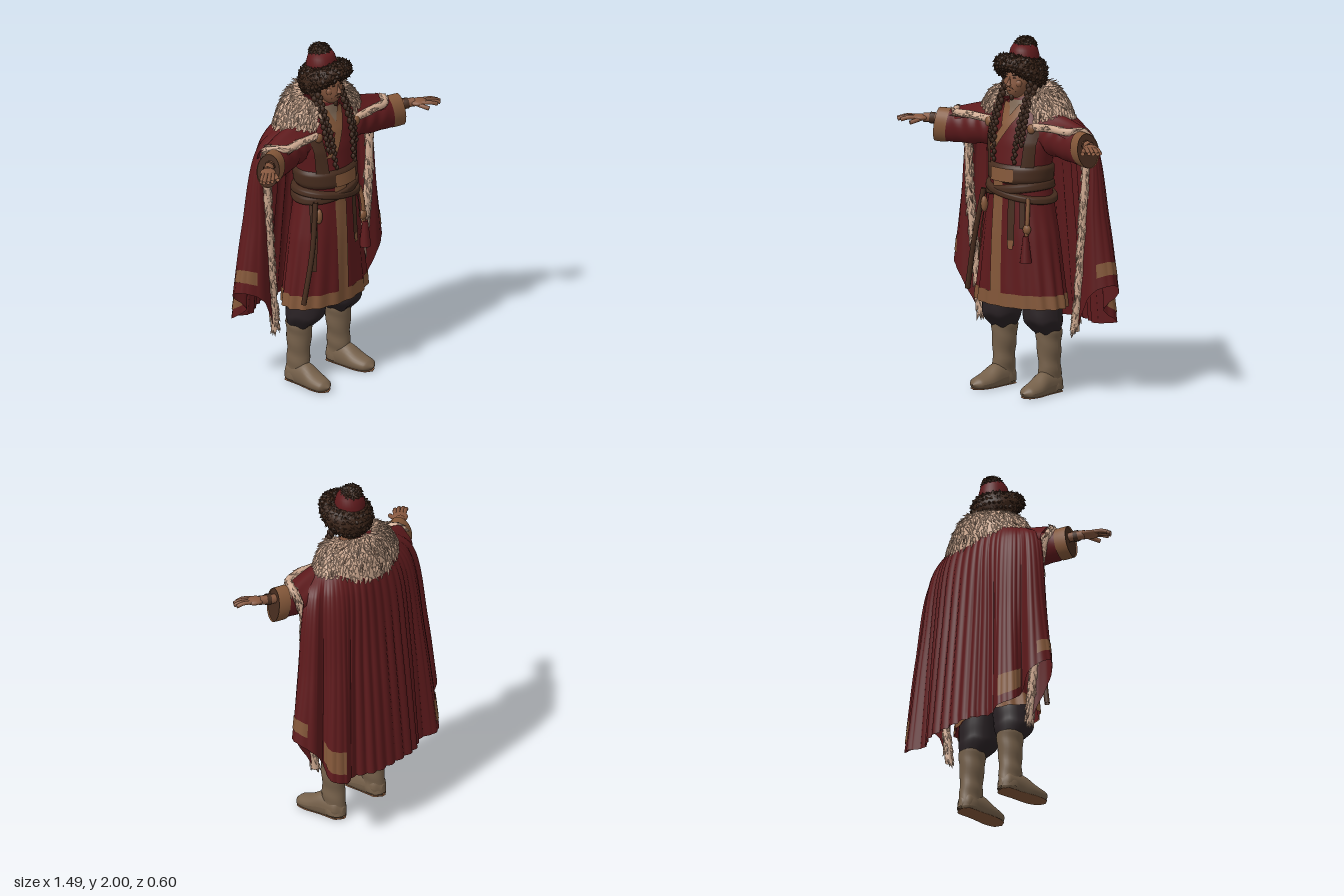
import * as THREE from 'three';
import { mergeGeometries } from 'three/addons/utils/BufferGeometryUtils.js';

const V = (x, y, z) => new THREE.Vector3(x, y, z);
const { lerp, clamp } = THREE.MathUtils;
const paint = (name, color) => Object.assign(new THREE.MeshStandardMaterial({ color, side: THREE.DoubleSide }), { name });

export function createModel() {
  const model = new THREE.Group();
  const red = paint('deep red cloth', 0x5e1a1c), trim = paint('tan trim', 0x835739);
  const paleFur = paint('pale fur', 0xd0ab92), furShade = paint('fur shadow', 0x7a5f4f);
  const darkFur = paint('dark brown fur', 0x3a2418), leather = paint('brown leather', 0x462c1e);
  const skin = paint('skin', 0x885940), pants = paint('dark trousers', 0x2a2225);
  const bootHide = paint('boot hide', 0x75604a), linen = paint('linen', 0x7d6754);

  let seed = 7;
  const rnd = () => (seed = (seed * 16807) % 2147483647) / 2147483647;
  const jit = (s) => (rnd() - 0.5) * 2 * s;

  const add = (name, geo, mat) => {
    const m = new THREE.Mesh(geo, mat);
    m.name = name;
    model.add(m);
    return m;
  };
  // Surface from a rule fn(u, v) -> point
  const sheet = (name, mat, fn, nu, nv) => {
    const pos = [], idx = [];
    for (let j = 0; j <= nv; j++) for (let i = 0; i <= nu; i++) pos.push(...fn(i / nu, j / nv).toArray());
    for (let j = 0; j < nv; j++) for (let i = 0; i < nu; i++) {
      const a = j * (nu + 1) + i, b = a + nu + 1;
      idx.push(a, a + 1, b, a + 1, b + 1, b);
    }
    const g = new THREE.BufferGeometry();
    g.setAttribute('position', new THREE.Float32BufferAttribute(pos, 3));
    g.setIndex(idx);
    g.computeVertexNormals();
    return add(name, g, mat);
  };
  // Elliptical sections [x, y, z, ra, rb] joined smoothly; A and B are the ellipse axes
  const loft = (name, mat, rows, A, B, rule = (p) => p, nv = 24) => {
    const c = new THREE.CatmullRomCurve3(rows.map((r) => V(r[0], r[1], r[2])));
    const q = new THREE.CatmullRomCurve3(rows.map((r) => V(r[3], r[4], 0)));
    return sheet(name, mat, (u, v) => {
      const a = u * Math.PI * 2, r = q.getPoint(v);
      return rule(c.getPoint(v).addScaledVector(A, r.x * Math.cos(a)).addScaledVector(B, r.y * Math.sin(a)), a, v);
    }, 28, nv);
  };
  const tube = (name, mat, pts, r, seg = 40) =>
    add(name, new THREE.TubeGeometry(new THREE.CatmullRomCurve3(pts), seg, r, 8), mat);
  const ball = (name, mat, p, s) => {
    const m = add(name, new THREE.SphereGeometry(1, 18, 14), mat);
    m.position.set(...p);
    m.scale.set(...s);
    return m;
  };
  // Many pointed tufts [point, direction, length, width] in one mesh
  const fur = (name, mat, list) => {
    const up = V(0, 1, 0);
    add(name, mergeGeometries(list.map(([p, d, len, w]) =>
      new THREE.ConeGeometry(w, len, 5).translate(0, len / 2, 0)
        .applyQuaternion(new THREE.Quaternion().setFromUnitVectors(up, d.clone().normalize()))
        .translate(p.x, p.y, p.z))), mat);
  };

  // Robe: rows of height, half width, half depth, centre z
  const prof = [[0.5, 0.3, 0.17, 0.07], [0.6, 0.285, 0.17, 0.07], [0.9, 0.24, 0.162, 0.07], [1.1, 0.198, 0.152, 0.07],
    [1.2, 0.18, 0.148, 0.075], [1.3, 0.188, 0.145, 0.07], [1.42, 0.21, 0.14, 0.06], [1.52, 0.2, 0.12, 0.05],
    [1.6, 0.13, 0.085, 0.045], [1.67, 0.06, 0.06, 0.05]];
  const section = (y) => {
    let i = 0;
    while (i < prof.length - 2 && y > prof[i + 1][0]) i++;
    const a = prof[i], b = prof[i + 1], k = clamp((y - a[0]) / (b[0] - a[0]), 0, 1);
    return [1, 2, 3].map((n) => lerp(a[n], b[n], k));
  };
  const robe = (th, y, o = 0) => {
    const [w, d, z] = section(y), f = 1 + 0.028 * clamp((1.12 - y) / 0.5, 0, 1) * Math.sin(16 * th);
    return V((w * f + o) * Math.sin(th), y, z + (d * f + o) * Math.cos(th));
  };
  const robeAt = (x, y, o) => robe(Math.asin(clamp(x / section(y)[0], -1, 1)), y, o);
  const TAU = Math.PI * 2;
  sheet('robe', red, (u, v) => robe(u * TAU, lerp(0.5, 1.67, v)), 128, 46);
  sheet('robeHemBand', trim, (u, v) => robe(u * TAU, lerp(0.498, 0.575, v), 0.005), 128, 4);
  sheet('robeFrontBand', trim, (u, v) => robeAt(lerp(-0.075, 0, u), lerp(0.5, 1.2, v), 0.007), 6, 30);
  sheet('shirt', linen, (u, v) => robeAt(lerp(-1, 1, u) * lerp(0.006, 0.05, v), lerp(1.54, 1.65, v), 0.006), 10, 10);
  for (const s of [1, -1]) sheet('lapel', trim, (u, v) =>
    robeAt(s * lerp(0.06, s > 0 ? -0.09 : 0.02, v) + lerp(-0.027, 0.027, u), lerp(1.63, s > 0 ? 1.38 : 1.51, v), s > 0 ? 0.014 : 0.01), 6, 16);

  // Belts and things hung from them
  const belt = (name, y, tilt, h, o) => sheet(name, leather, (u, v) =>
    robe(u * TAU, y + tilt * Math.sin(u * TAU) + (v - 0.5) * h, o * (1 - (2 * v - 1) ** 6)), 64, 8);
  belt('mainBelt', 1.245, 0, 0.105, 0.016);
  belt('slungBelt', 1.155, 0.03, 0.055, 0.02);
  belt('slungBelt', 1.135, -0.035, 0.045, 0.024);
  sheet('buckle', trim, (u, v) => robeAt(lerp(-0.075, 0.07, u), lerp(1.205, 1.28, v), 0.024), 8, 4);
  const strap = (name, mat, x0, x1, y0, y1, w, o = 0.014) => sheet(name, mat, (u, v) =>
    robeAt(lerp(x0, x1, v) + (u - 0.5) * w, lerp(y0, y1, v), o), 4, 16);
  strap('hangingStrap', leather, 0.06, 0.065, 1.13, 0.85, 0.04);
  strap('strapTip', trim, 0.065, 0.065, 0.88, 0.83, 0.03, 0.018);
  strap('hangingStrap', leather, 0.115, 0.125, 1.13, 0.95, 0.025);
  strap('sideStrap', leather, -0.17, -0.21, 1.13, 0.72, 0.025);
  tube('tasselCord', trim, [robeAt(0.14, 1.12, 0.02), robeAt(0.145, 1.03, 0.03), robeAt(0.15, 0.9, 0.025)], 0.012);
  ball('tasselBead', trim, robeAt(0.148, 0.95, 0.025).toArray(), [0.025, 0.03, 0.02]);
  add('tassel', new THREE.CylinderGeometry(0.016, 0.034, 0.15, 12), red).position.copy(robeAt(0.15, 0.84, 0.03));
  ball('pouch', trim, robeAt(-0.16, 1.045, 0.02).toArray(), [0.02, 0.045, 0.02]);
  tube('scabbard', leather, [V(-0.19, 1.13, 0.17), V(-0.24, 0.85, 0.19), V(-0.3, 0.55, 0.18)], 0.015);

  // Cape: rows from the collar down to the hem, each from the back centre round two deep folds to the front edge
  const rows = [
    [[0, 1.62, -0.13], [0.1, 1.62, -0.12], [0.18, 1.61, -0.09], [0.23, 1.61, -0.06], [0.26, 1.6, -0.03], [0.28, 1.59, -0.01], [0.3, 1.58, 0.01], [0.32, 1.57, 0.03], [0.33, 1.56, 0.05], [0.33, 1.55, 0.06]],
    [[0, 1.44, -0.185], [0.13, 1.45, -0.18], [0.22, 1.46, -0.155], [0.29, 1.47, -0.14], [0.34, 1.48, -0.105], [0.37, 1.48, -0.07], [0.41, 1.48, -0.06], [0.435, 1.48, -0.02], [0.44, 1.48, 0.01], [0.425, 1.48, 0.02]],
    [[0, 1, -0.235], [0.15, 1, -0.227], [0.26, 1, -0.19], [0.34, 1, -0.2], [0.4, 1, -0.16], [0.42, 1, -0.11], [0.49, 1, -0.11], [0.522, 1, -0.04], [0.48, 1, 0.025], [0.41, 1, 0.02]],
    [[0, 0.37, -0.29], [0.17, 0.37, -0.28], [0.29, 0.37, -0.22], [0.39, 0.38, -0.255], [0.465, 0.41, -0.2], [0.44, 0.48, -0.12], [0.53, 0.58, -0.14], [0.585, 0.65, -0.04], [0.5, 0.61, 0.04], [0.35, 0.37, 0.01]]]
    .map((r) => new THREE.CatmullRomCurve3(r.map((p) => V(...p))));
  const cape = (s, t, o = 0) => {
    const p = new THREE.CatmullRomCurve3(rows.map((r) => r.getPoint(s))).getPoint(t);
    const k = o + 0.018 * Math.min(1, t * 1.6) * (Math.abs(Math.sin(s * 62)) - 0.6) * (1 - 0.75 * clamp((s - 0.2) * 6, 0, 1));
    return p.addScaledVector(V(p.x, 0, p.z - 0.05).normalize(), k);
  };
  const flip = (p, s) => p.setX(p.x * s);
  sheet('cape', red, (u, v) => flip(cape(Math.abs(u * 2 - 1), v), Math.sign(u - 0.5) || 1), 320, 36);

  // Fur collar: a runs around from the back, t from the neck outwards
  const collar = (a, t) => {
    const f = (1 - Math.cos(a)) / 2, rz = lerp(lerp(0.1, 0.19, t), lerp(0.08, 0.15, t), f);
    return V(lerp(0.1, 0.315, t ** 0.85) * Math.sin(a),
      lerp(lerp(1.72, 1.66, f), lerp(1.5, 1.535, f) + 0.05 * Math.sin(a) ** 2, t ** 1.3) + 0.04 * Math.sin(Math.PI * t),
      0.015 - rz * Math.cos(a) * (1 + 0.12 * Math.sin(Math.PI * t)));
  };
  const A = 2.6;
  sheet('collarBase', paleFur, (u, v) => collar(lerp(-A, A, u), v), 60, 14);
  const tufts = [[], []];
  for (let j = 0; j < 10; j++) for (let i = 0; i <= 46; i++) {
    const a = lerp(-A, A, (i + (j % 2) / 2) / 46.5) + jit(0.04), t = clamp(j / 9.6 + jit(0.03), 0, 0.97);
    const p = collar(a, t), d = collar(a + jit(0.02), t + 0.03).sub(p).normalize();
    const dark = (i * 3 + j) % 11 === 0 ? 1 : 0;
    tufts[dark].push([p, d.add(V(Math.sin(a) * 0.05, 0.07, -Math.cos(a) * 0.05)), 0.062 + jit(0.012), dark ? 0.009 : 0.012]);
  }
  fur('collarFur', paleFur, tufts[0]);
  fur('collarFurShadow', furShade, tufts[1]);

  for (const s of [1, -1]) {
    const P = (x, y, z) => V(x * s, y, z);
    const X = V(1, 0, 0), Y = V(0, 1, 0), Z = V(0, 0, 1);

    // Cape hem patches inside and out, shoulder drape and fur edging
    for (const [a, b, top, low] of [[0.33, 0.53, 0.9, 0.97], [0.71, 0.87, 0.87, 0.94]]) for (const o of [0.005, -0.005])
      sheet('capeHemPatch', trim, (u, v) => flip(cape(lerp(a, b, u), lerp(top, low, v), o), s), 40, 4);
    sheet('capeShoulder', red, (u, v) => {
      const f = lerp(-1.5, 1.1, v), r = 1 + 0.04 * Math.sin(f * 6 + u * 3);
      return P(lerp(0.15, lerp(0.475, 0.44, v), u), lerp(1.48, 1.43, u) + lerp(0.145, 0.11, u) * r * Math.cos(f),
        lerp(0.045, 0.08, u) + lerp(0.115, 0.09, u) * r * Math.sin(f));
    }, 20, 24);
    const edge = [P(0.16, 1.52, 0.15), P(0.3, 1.53, 0.16), P(0.41, 1.525, 0.15), P(0.465, 1.52, 0.07), P(0.44, 1.39, 0.025),
      P(0.422, 1.1, 0.025), P(0.39, 0.75, 0.02), P(0.345, 0.37, 0.01)];
    tube('capeEdgeBase', paleFur, edge, 0.022, 60);
    const line = new THREE.CatmullRomCurve3(edge), wisps = [[], []];
    for (let i = 0; i < 240; i++) {
      const t = i / 240, p = line.getPointAt(t), d = line.getTangentAt(t);
      const side = V(jit(1), jit(0.5), jit(1)).normalize();
      wisps[i % 9 ? 0 : 1].push([p.addScaledVector(side, 0.015), d.addScaledVector(side, 0.35), 0.05, 0.013]);
    }
    fur('capeEdgeFur', paleFur, wisps[0]);
    fur('capeEdgeFurShadow', furShade, wisps[1]);

    // Sleeve, cuff and arm
    const N = V(-0.35 * s, 0, 0.94);
    const slant = (p) => p.setX(p.x + s * (1.437 - p.y) * 0.15);
    const crease = (p, a, v) => p.addScaledVector(N, 0.009 * (1 - v) * Math.sin(v * 30 + a * 2)).addScaledVector(Y, 0.008 * (1 - v) * Math.sin(v * 24 + a));
    loft('sleeve', red, [[0.13 * s, 1.46, 0.05, 0.09, 0.09], [0.25 * s, 1.455, 0.055, 0.1, 0.085], [0.38 * s, 1.44, 0.085, 0.095, 0.076],
      [0.51 * s, 1.437, 0.125, 0.091, 0.063]], Y, N, crease, 40);
    loft('cuff', trim, [[0.485 * s, 1.437, 0.117, 0.097, 0.07], [0.52 * s, 1.437, 0.128, 0.098, 0.069], [0.555 * s, 1.438, 0.14, 0.097, 0.067]], Y, N, slant, 4);
    loft('sleeveLining', leather, [[0.545 * s, 1.437, 0.137, 0.096, 0.067], [0.545 * s, 1.437, 0.137, 0.001, 0.001]], Y, N, slant, 2);
    tube('wrist', skin, [P(0.48, 1.46, 0.12), P(0.55, 1.472, 0.15), P(0.615, 1.475, 0.19)], 0.027);
    tube('bracelet', leather, [P(0.56, 1.472, 0.156), P(0.572, 1.473, 0.164), P(0.583, 1.474, 0.17)], 0.033, 6);
    ball('palm', skin, [0.632 * s, 1.475, 0.208], [0.052, 0.019, 0.044]).rotation.y = -0.58 * s;
    [[0.738, 0.25], [0.737, 0.27], [0.72, 0.286], [0.693, 0.291]].forEach(([x, z], i) =>
      tube('finger', skin, [P(0.645 - i * 0.007, 1.478, 0.19 + i * 0.015), P(x - 0.03, 1.478, z - 0.018), P(x, 1.466, z)], 0.0115, 10));
    tube('thumb', skin, [P(0.605, 1.473, 0.21), P(0.617, 1.465, 0.25), P(0.635, 1.455, 0.283)], 0.0125, 10);

    // Harness strap and clasp
    strap('harnessStrap', leather, s * 0.15, s * 0.13, 1.52, 1.29, 0.055);
    ball('clasp', trim, [0.155 * s, 1.51, 0.165], [0.026, 0.028, 0.018]);

    // Trousers and boot
    loft('trouserLeg', pants, [[0.12 * s, 0.66, 0.06, 0.11, 0.1], [0.145 * s, 0.5, 0.06, 0.112, 0.112], [0.152 * s, 0.42, 0.06, 0.11, 0.11],
      [0.162 * s, 0.34, 0.03, 0.066, 0.068]], X, Z, (p, a) => p.setY(p.y + 0.008 * Math.sin(a * 5)));
    loft('bootShaft', bootHide, [[0.163 * s, 0.35, 0.025, 0.06, 0.06], [0.163 * s, 0.362, 0.025, 0.074, 0.077], [0.163 * s, 0.3, 0.026, 0.07, 0.074],
      [0.167 * s, 0.19, 0.025, 0.06, 0.067], [0.17 * s, 0.1, 0.022, 0.056, 0.072], [0.173 * s, 0.02, 0.01, 0.058, 0.068]], X, Z,
      (p, a, v) => p.setX(p.x + 0.003 * Math.sin(v * 28 + a)));
    loft('bootFoot', bootHide, [[0.172 * s, 0.04, -0.055, 0.02, 0.03], [0.172 * s, 0.05, -0.02, 0.055, 0.07], [0.174 * s, 0.05, 0.08, 0.058, 0.08],
      [0.18 * s, 0.035, 0.17, 0.062, 0.05], [0.185 * s, 0.03, 0.235, 0.05, 0.034], [0.186 * s, 0.03, 0.27, 0.002, 0.002]], X, Y,
      (p) => p.setY(Math.max(p.y, 0.006)));
    loft('bootSole', trim, [[0.172 * s, 0.004, -0.056, 0.015, 0.004], [0.172 * s, 0.004, -0.02, 0.053, 0.004], [0.174 * s, 0.004, 0.07, 0.052, 0.004],
      [0.18 * s, 0.004, 0.17, 0.058, 0.004], [0.185 * s, 0.004, 0.24, 0.042, 0.004], [0.186 * s, 0.004, 0.262, 0.002, 0.002]], X, Y);

    // Braids, two to a side, made of alternating knots
    for (const [k, end] of [[0, 1.32], [1, 1.42]]) {
      const path = new THREE.CatmullRomCurve3([P(0.092 + k * 0.015, 1.77, 0.09 - k * 0.03), P(0.087 + k * 0.022, 1.62, 0.15 - k * 0.01),
        P(0.085 + k * 0.03, 1.5, 0.195 - k * 0.01), P(0.075 + k * 0.035, end, 0.222 - k * 0.02)]);
      const knots = [];
      for (let i = 0; i < 24; i++) {
        const p = path.getPointAt(i / 23), r = 0.018 - i * 0.0002;
        knots.push(new THREE.SphereGeometry(r, 8, 6).scale(0.85, 1.15, 0.95).translate(p.x + (i % 2 ? 0.006 : -0.006), p.y, p.z));
      }
      add('braid', mergeGeometries(knots), darkFur);
    }

    // Eye, brow, moustache and cheek
    ball('eye', darkFur, [0.03 * s, 1.782, 0.163], [0.011, 0.003, 0.006]);
    ball('brow', darkFur, [0.032 * s, 1.798, 0.164], [0.018, 0.003, 0.007]).rotation.z = 0.15 * s;
    tube('moustache', darkFur, [P(0.003, 1.727, 0.174), P(0.02, 1.722, 0.168), P(0.034, 1.704, 0.152)], 0.003, 10);
    ball('cheek', skin, [0.038 * s, 1.75, 0.142], [0.025, 0.024, 0.018]);
  }

  // Head with a tapering jaw
  const headGeo = new THREE.SphereGeometry(1, 28, 22), hp = headGeo.attributes.position;
  for (let i = 0; i < hp.count; i++) {
    const j = clamp(-hp.getY(i), 0, 1);
    hp.setX(i, hp.getX(i) * (1 - 0.25 * j));
    hp.setZ(i, hp.getZ(i) + 0.35 * j);
  }
  headGeo.computeVertexNormals();
  const head = add('head', headGeo, skin);
  head.position.set(0, 1.765, 0.088);
  head.scale.set(0.075, 0.105, 0.082);
  add('neck', new THREE.CylinderGeometry(0.05, 0.058, 0.16, 20), skin).position.set(0, 1.66, 0.06);
  const nose = add('nose', new THREE.ConeGeometry(0.015, 0.06, 8), skin);
  nose.position.set(0, 1.765, 0.172);
  nose.rotation.x = -0.25;
  ball('noseTip', skin, [0, 1.742, 0.178], [0.015, 0.011, 0.012]);
  ball('lips', leather, [0, 1.709, 0.166], [0.015, 0.003, 0.008]);
  ball('goatee', darkFur, [0, 1.668, 0.152], [0.013, 0.02, 0.013]);
  ball('hair', darkFur, [0, 1.765, 0.04], [0.085, 0.1, 0.08]);

  // Hat: fur brim raised over the face and low at the back, red crown and fur top
  const brim = (a, b, r) => {
    const f = ((1 + Math.cos(a)) / 2) ** 2, d = 0.097 + r * Math.cos(b);
    return V(d * Math.sin(a), 1.792 + 0.075 * f + (0.08 - 0.035 * f) * (r / 0.05) * Math.sin(b), 0.073 + d * Math.cos(a));
  };
  sheet('brimBase', darkFur, (u, v) => brim(u * TAU, v * TAU, 0.05), 48, 16);
  const curls = [];
  for (let j = 0; j < 12; j++) for (let i = 0; i < 34; i++) {
    const a = ((i + (j % 2) / 2) / 34) * TAU, b = lerp(-1.7, 2.8, j / 11), p = brim(a, b, 0.046);
    curls.push([p, brim(a, b, 0.056).sub(p).normalize().add(V(jit(1), jit(1) - 0.2, jit(1))), 0.02, 0.013]);
  }
  fur('brimFur', darkFur, curls);
  add('hatCrown', new THREE.LatheGeometry([[0.088, 1.83], [0.086, 1.89], [0.076, 1.93], [0.06, 1.955], [0, 1.965]].map((p) => new THREE.Vector2(...p)), 32), red)
    .position.z = 0.047;
  ball('hatTop', darkFur, [0, 1.948, 0.035], [0.056, 0.044, 0.056]);
  const nap = [];
  for (let i = 0; i < 100; i++) {
    const y = 1 - (i / 100) * 1.4, r = Math.sqrt(1 - y * y), a = i * 2.4, n = V(r * Math.cos(a), y, r * Math.sin(a));
    nap.push([V(n.x * 0.053, 1.948 + n.y * 0.04, 0.035 + n.z * 0.053), n.add(V(jit(0.8), -0.3, jit(0.8))), 0.018, 0.012]);
  }
  fur('hatTopFur', darkFur, nap);
  return model;
}
